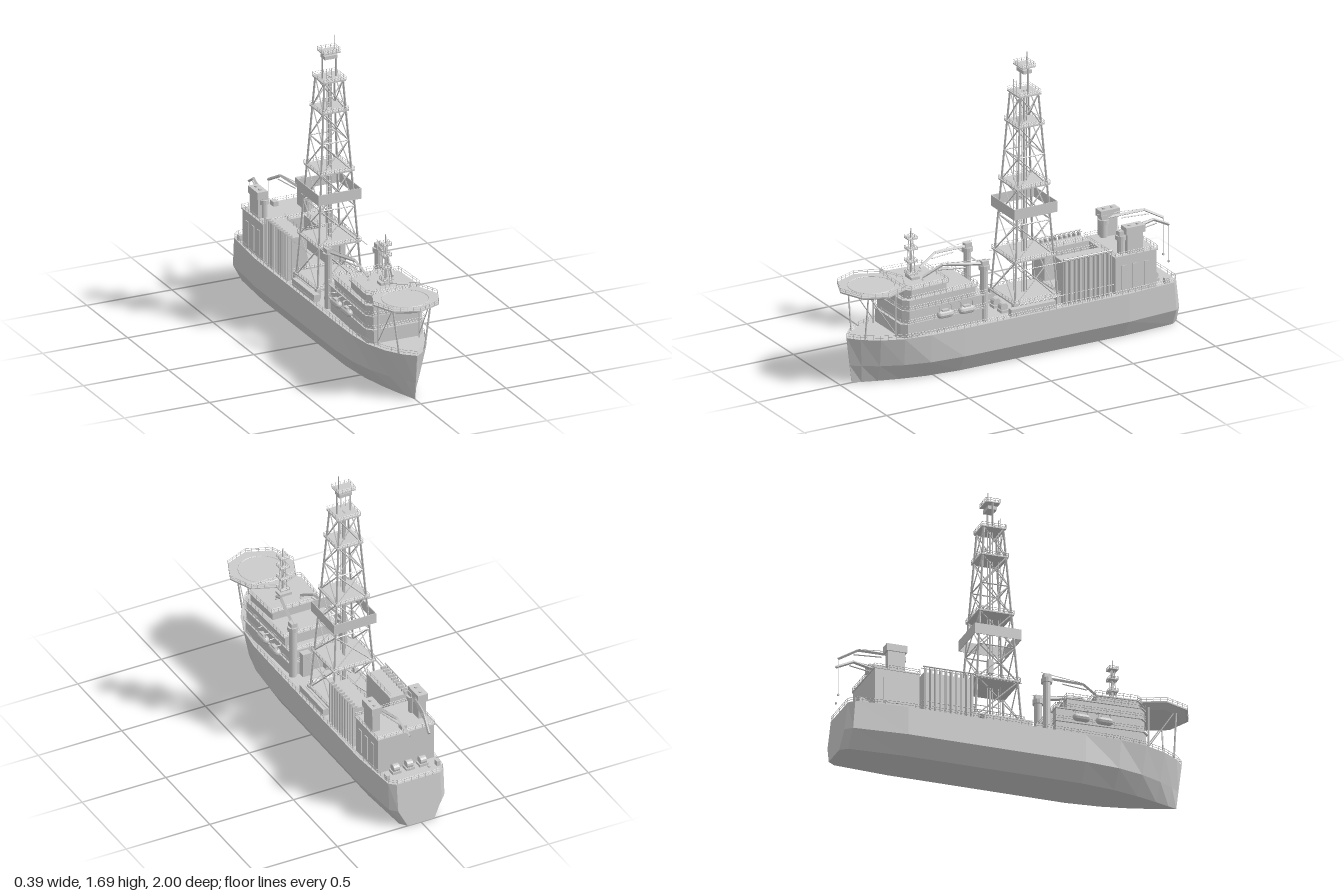
import * as THREE from 'three';
import { mergeGeometries } from 'three/addons/utils/BufferGeometryUtils.js';

const mat = new THREE.MeshStandardMaterial({ color: 0xcccccc, flatShading: true, side: THREE.DoubleSide });
const V = (x, y, z) => new THREE.Vector3(x, y, z);

// Geometry helpers
const box = (x, y0, y1, z, w, d) => new THREE.BoxGeometry(w, y1 - y0, d).translate(x, (y0 + y1) / 2, z);
const cyl = (x, y0, y1, z, r, rBottom = r, n = 12) =>
  new THREE.CylinderGeometry(r, rBottom, y1 - y0, n).translate(x, (y0 + y1) / 2, z);
function beam(a, b, r = 0.003, n = 4) {
  const d = b.clone().sub(a);
  const g = new THREE.CylinderGeometry(r, r, d.length(), n);
  g.applyQuaternion(new THREE.Quaternion().setFromUnitVectors(V(0, 1, 0), d.normalize()));
  return g.translate((a.x + b.x) / 2, (a.y + b.y) / 2, (a.z + b.z) / 2);
}
// Handrail along a list of points: two rails and evenly spaced posts
function rail(pts, closed = true, h = 0.025, gap = 0.04) {
  const out = [], up = V(0, h, 0), mid = V(0, h / 2, 0);
  for (let i = 0; i < pts.length - (closed ? 0 : 1); i++) {
    const a = pts[i], b = pts[(i + 1) % pts.length];
    for (const o of [up, mid]) out.push(beam(a.clone().add(o), b.clone().add(o), 0.0013));
    const n = Math.max(1, Math.round(a.distanceTo(b) / gap));
    for (let k = 0; k < n; k++) {
      const p = a.clone().lerp(b, k / n);
      out.push(beam(p, p.clone().add(up), 0.0013));
    }
  }
  return out;
}
const rect = (w, d, y, z = 0, x = 0) => [V(x - w, y, z - d), V(x + w, y, z - d), V(x + w, y, z + d), V(x - w, y, z + d)];

// Hull stations: zDeck, zKeel, half widths at deck, bilge and bottom
const stations = [
  [-0.97, -1.0, 0.13, 0.13, 0.08], [-0.94, -0.96, 0.165, 0.165, 0.11], [-0.65, -0.65, 0.19, 0.19, 0.13],
  [0.35, 0.35, 0.19, 0.19, 0.13], [0.55, 0.54, 0.187, 0.175, 0.11], [0.7, 0.68, 0.168, 0.14, 0.08],
  [0.82, 0.8, 0.122, 0.09, 0.045], [0.91, 0.88, 0.062, 0.04, 0.018], [0.96, 0.93, 0.003, 0.002, 0.001],
];
function hullGeometry() {
  const pos = [], idx = [];
  for (const [zt, zb, t, m, b] of stations) {
    const zm = zb + (zt - zb) * 0.38;
    pos.push(-t, 0.26, zt, -m, 0.1, zm, -b, 0, zb, b, 0, zb, m, 0.1, zm, t, 0.26, zt);
  }
  const last = (stations.length - 1) * 6;
  for (let k = 0; k < last; k += 6)
    for (let i = 0; i < 6; i++) {
      const j = (i + 1) % 6;
      idx.push(k + i, k + j, k + 6 + j, k + i, k + 6 + j, k + 6 + i);
    }
  for (let i = 1; i < 5; i++) idx.push(0, i + 1, i, last, last + i, last + i + 1);
  const g = new THREE.BufferGeometry();
  g.setAttribute('position', new THREE.Float32BufferAttribute(pos, 3));
  g.setIndex(idx);
  return g;
}

// Accommodation tier outline, wider at the front with cut front corners
const tierPts = (y, z0, z1, w0, w1) =>
  [V(-w0, y, z0), V(w0, y, z0), V(w1, y, z1 - 0.03), V(w1 - 0.03, y, z1), V(-w1 + 0.03, y, z1), V(-w1, y, z1 - 0.03)];
function slab(pts, h) {
  const s = new THREE.Shape(pts.map(p => new THREE.Vector2(p.x, -p.z)));
  return new THREE.ExtrudeGeometry(s, { depth: h, bevelEnabled: false }).rotateX(-Math.PI / 2).translate(0, pts[0].y, 0);
}

// Pedestal crane: knuckle boom towards (tx, tz), with stay and hook wire
function crane(x, z, tx, tz, hookY) {
  const at = (f, y) => V(x + (tx - x) * f, y, z + (tz - z) * f);
  return [
    cyl(x, 0.26, 0.56, z, 0.021), cyl(x, 0.55, 0.575, z, 0.03), box(x, 0.56, 0.6, z, 0.035, 0.04),
    beam(at(0, 0.58), at(0.68, 0.602), 0.009), beam(at(0.68, 0.602), at(1, 0.545), 0.008),
    beam(at(-0.1, 0.604), at(0.68, 0.608), 0.002), beam(at(0.3, 0.57), at(0.75, 0.575), 0.004),
    beam(at(1, 0.545), at(1, hookY), 0.0012), box(tx, hookY - 0.01, hookY, tz, 0.01, 0.01),
  ];
}

export function createModel() {
  const group = new THREE.Group();
  const add = (name, geos) => {
    const clean = geos.map(g => {
      const n = g.index ? g.toNonIndexed() : g;
      n.deleteAttribute('uv');
      n.deleteAttribute('normal');
      return n;
    });
    const g = mergeGeometries(clean);
    g.computeVertexNormals();
    const mesh = new THREE.Mesh(g, mat);
    mesh.name = name;
    group.add(mesh);
  };

  add('hull', [hullGeometry()]);
  const side = s => stations.map(([z, , t]) => V(s * Math.max(t - 0.004, 0), 0.26, z));
  add('deckRailing', rail([...side(1), ...side(-1).reverse()]));

  // Stepped accommodation block with railings, window strips and wing decks
  const tiers = [[0.26, 0.34, 0.2, 0.71, 0.145, 0.165], [0.34, 0.415, 0.2, 0.7, 0.145, 0.165],
    [0.415, 0.475, 0.26, 0.7, 0.15, 0.165], [0.475, 0.525, 0.43, 0.68, 0.135, 0.15]];
  const house = [], houseRails = [];
  for (const [y0, y1, z0, z1, w0, w1] of tiers) {
    house.push(slab(tierPts(y0, z0, z1, w0, w1), y1 - y0 - 0.005));
    const roof = tierPts(y1 - 0.006, z0 - 0.006, z1 + 0.006, w0 + 0.01, w1 + 0.008);
    house.push(slab(roof, 0.006));
    houseRails.push(...rail(roof.map(p => p.clone().setY(y1))));
  }
  house.push(box(0, 0.525, 0.54, 0.56, 0.07, 0.05), box(0.07, 0.26, 0.4, 0.19, 0.05, 0.06), box(-0.07, 0.26, 0.4, 0.19, 0.05, 0.06));
  add('accommodation', house);
  add('accommodationRailings', houseRails);

  // Lifeboats and their davits on both sides
  const boats = [];
  for (const s of [-1, 1]) for (const z of [0.33, 0.46]) {
    boats.push(new THREE.CapsuleGeometry(0.021, 0.055, 4, 10).rotateX(Math.PI / 2).translate(s * 0.176, 0.36, z));
    boats.push(box(s * 0.176, 0.375, 0.387, z, 0.02, 0.04));
    for (const d of [-0.035, 0.035])
      boats.push(beam(V(s * 0.15, 0.405, z + d), V(s * 0.185, 0.405, z + d)), beam(V(s * 0.178, 0.405, z + d), V(s * 0.178, 0.36, z + d), 0.002));
  }
  add('lifeboats', boats);

  // Octagonal helicopter deck on posts, with a painted ring and safety rail
  const oct = Array.from({ length: 8 }, (_, i) => V(0.188 * Math.sin(i * Math.PI / 4), 0.53, 0.81 + 0.188 * Math.cos(i * Math.PI / 4)));
  const heli = [cyl(0, 0.522, 0.53, 0.81, 0.188, 0.188, 8), cyl(0, 0.5, 0.522, 0.81, 0.175, 0.14, 8),
    new THREE.TorusGeometry(0.125, 0.0025, 4, 40).rotateX(Math.PI / 2).translate(0, 0.531, 0.81)];
  for (const s of [-1, 1]) {
    heli.push(beam(V(s * 0.075, 0.26, 0.89), V(s * 0.11, 0.51, 0.89), 0.005, 6), beam(V(s * 0.12, 0.26, 0.73), V(s * 0.12, 0.51, 0.73), 0.005, 6));
    heli.push(beam(V(s * 0.12, 0.28, 0.73), V(s * 0.11, 0.51, 0.88), 0.003));
  }
  add('helideck', heli);
  add('helideckRailing', rail(oct, true, 0.02));

  // Radar mast over the bridge
  const mast = [cyl(0, 0.52, 0.81, 0.57, 0.003, 0.006, 6)];
  for (const y of [0.55, 0.62, 0.69, 0.75])
    mast.push(box(0, y, y + 0.005, 0.57, 0.05, 0.05), ...rail(rect(0.025, 0.025, y, 0.57), true, 0.018, 0.025));
  for (const [a, b] of [[-1, -1], [1, -1], [1, 1], [-1, 1]])
    mast.push(beam(V(a * 0.016, 0.52, 0.57 + b * 0.016), V(a * 0.008, 0.75, 0.57 + b * 0.008), 0.002));
  add('radarMast', mast);

  add('frontCraneRight', crane(-0.135, 0.15, -0.06, 0.48, 0.53));
  add('frontCraneLeft', crane(0.135, 0.2, 0.06, 0.53, 0.53));
  add('rearCraneLeft', crane(0.12, -0.64, 0.05, -0.97, 0.34));
  add('rearCraneRight', crane(-0.12, -0.67, -0.05, -0.995, 0.34));

  // Derrick: tapering legs with X braces on all four faces
  const cz = -0.12, half = y => 0.13 - 0.075 * (y - 0.3) / 1.15;
  const ring = y => rect(half(y), half(y), y, cz);
  const levels = [0.3, 0.54, 0.74, 0.94, 1.11, 1.28, 1.45], derrick = [];
  for (let k = 0; k < levels.length; k++) {
    const lo = ring(levels[k]), hi = k < 6 && ring(levels[k + 1]);
    for (let i = 0; i < 4; i++) {
      const j = (i + 1) % 4;
      derrick.push(beam(lo[i], lo[j], 0.004));
      if (hi) derrick.push(beam(lo[i], hi[i], 0.0065), beam(lo[i], hi[j], 0.0035), beam(lo[j], hi[i], 0.0035));
    }
  }
  for (const p of rect(0.13, 0.13, 0.26, cz)) derrick.push(box(p.x, 0.26, 0.31, p.z, 0.025, 0.025));
  add('derrick', derrick);

  const platforms = [], platformRails = [];
  for (const y of [0.31, 0.54, 0.94, 1.28, 1.45]) {
    const w = half(y) + 0.012;
    platforms.push(box(0, y - 0.004, y + 0.004, cz, 2 * w, 2 * w));
    platformRails.push(...rail(rect(w, w, y, cz), true, 0.022, 0.03));
  }
  add('derrickPlatforms', platforms);
  add('derrickRailings', platformRails);
  // Wind wall around the racking board
  const wall = [];
  for (const s of [-1, 1]) wall.push(box(s * 0.124, 0.785, 0.845, cz, 0.004, 0.256), box(0, 0.785, 0.845, cz + s * 0.13, 0.252, 0.004));
  add('windWall', wall);

  // Drill string, guide rails and ladder
  const drill = [cyl(0, 0.26, 1.46, cz, 0.006, 0.006, 8), box(0, 0.62, 0.7, cz, 0.03, 0.03)];
  for (const s of [-1, 1]) drill.push(beam(V(0, 0.3, cz + s * 0.014), V(0, 1.46, cz + s * 0.014), 0.003));
  add('drillString', drill);
  const ladder = [-0.036, -0.008].map(x => beam(V(x, 0.31, -0.075), V(x, 1.52, -0.075), 0.002));
  for (let y = 0.34; y < 1.52; y += 0.03) ladder.push(beam(V(-0.036, y, -0.075), V(-0.008, y, -0.075), 0.0015));
  add('derrickLadder', ladder);

  // Crown block frame and antenna
  const crown = [box(0, 1.6, 1.606, cz, 0.1, 0.08), box(0, 1.565, 1.585, cz, 0.075, 0.05), ...rail(rect(0.05, 0.04, 1.603, cz), true, 0.022, 0.025),
    beam(V(0.03, 1.6, cz), V(0.03, 1.69, cz), 0.0025)];
  for (const s of [-1, 1]) crown.push(beam(V(s * 0.04, 1.45, cz), V(s * 0.04, 1.605, cz), 0.005));
  add('crown', crown);

  // Pipe racks behind the derrick: finned stacks with overhead frames
  const racks = [box(0, 0.26, 0.32, -0.41, 0.12, 0.3), box(0, 0.32, 0.345, -0.51, 0.03, 0.04)];
  for (const s of [-1, 1]) {
    racks.push(box(s * 0.1, 0.26, 0.5, -0.41, 0.09, 0.27));
    for (let i = 0; i < 10; i++) {
      const z = -0.28 - i * 0.029;
      racks.push(box(s * 0.155, 0.26, 0.515, z, 0.03, 0.008), beam(V(s * 0.172, 0.26, z - 0.012), V(s * 0.172, 0.52, z - 0.012), 0.003));
    }
    racks.push(beam(V(s * 0.172, 0.52, -0.265), V(s * 0.172, 0.52, -0.56), 0.004));
    for (const y of [0.32, 0.51]) racks.push(beam(V(s * 0.165, y, 0.0), V(s * 0.165, y, -0.57), 0.0025));
    racks.push(...rail([V(s * 0.06, 0.5, -0.275), V(s * 0.06, 0.5, -0.545)], false, 0.025));
    racks.push(box(s * 0.155, 0.26, 0.3, -0.08, 0.035, 0.27));
  }
  add('pipeRacks', racks);

  // Engine house with twin funnels
  const aft = [box(0, 0.26, 0.47, -0.705, 0.335, 0.25), box(0, 0.468, 0.474, -0.705, 0.345, 0.262), box(0, 0.474, 0.5, -0.86 + 0.07, 0.03, 0.04)];
  for (const s of [-1, 1]) {
    aft.push(box(s * 0.137, 0.47, 0.595, -0.705, 0.045, 0.095), box(s * 0.137, 0.585, 0.625, -0.705, 0.06, 0.115));
    for (const z of [-0.68, -0.73]) aft.push(cyl(s * 0.137, 0.62, 0.632, z, 0.01, 0.01, 8));
    aft.push(box(s * 0.15, 0.26, 0.29, -0.9, 0.02, 0.03));
    for (const z of [-0.63, -0.7, -0.77]) aft.push(box(s * 0.169, 0.28, 0.42, z, 0.006, 0.03));
  }
  add('engineHouse', aft);
  add('engineHouseRailing', rail(rect(0.17, 0.128, 0.474, -0.705), true, 0.022));

  // Mooring winches fore of the derrick and at the stern
  const winches = [];
  for (const z of [0.055, -0.86]) for (const x of [-0.08, 0, 0.08]) {
    winches.push(new THREE.CylinderGeometry(0.022, 0.022, 0.035, 12).rotateZ(Math.PI / 2).translate(x, 0.29, z));
    winches.push(box(x, 0.26, 0.275, z, 0.05, 0.045));
  }
  add('winches', winches);
  return group;
}
